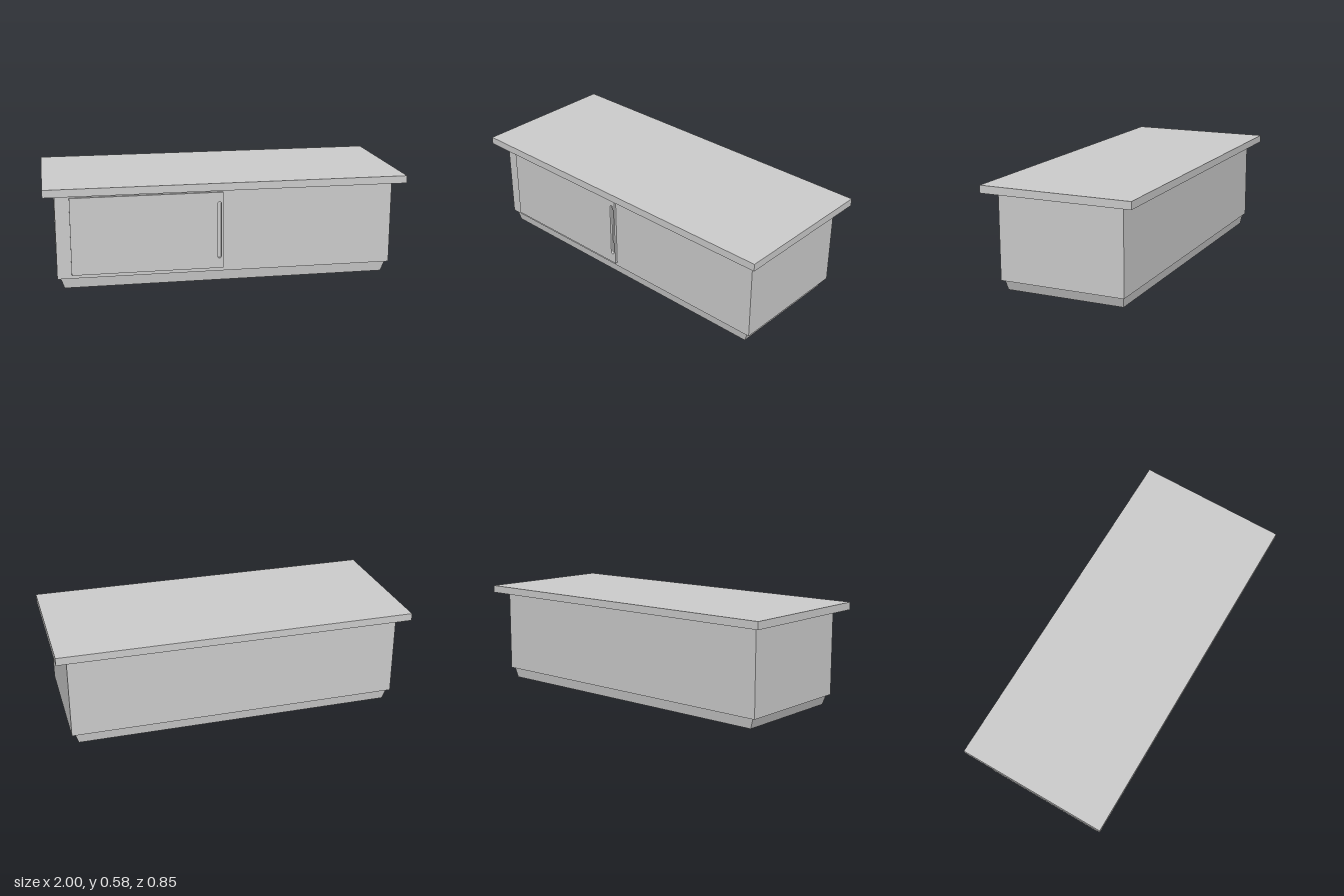
import * as THREE from 'three';

const material = new THREE.MeshStandardMaterial({ color: 0xcccccc, flatShading: true });

function addMesh(group, name, geometry) {
  const mesh = new THREE.Mesh(geometry, material);
  mesh.name = name;
  group.add(mesh);
  return mesh;
}

// Box centred on x and z, spanning y0 to y1
function slab(width, depth, y0, y1) {
  return new THREE.BoxGeometry(width, y1 - y0, depth).translate(0, (y0 + y1) / 2, 0);
}

// Upright slot with fully rounded ends
function slotPath(x0, x1, y0, y1) {
  const r = (x1 - x0) / 2;
  const cx = (x0 + x1) / 2;
  const path = new THREE.Path();
  path.absarc(cx, y1 - r, r, 0, Math.PI, false);
  path.absarc(cx, y0 + r, r, Math.PI, Math.PI * 2, false);
  path.closePath();
  return path;
}

export function createModel() {
  const group = new THREE.Group();
  group.name = 'cabinet';

  addMesh(group, 'top', slab(2, 0.85, 0.534, 0.576));
  addMesh(group, 'body', slab(1.876, 0.71, 0.059, 0.534));

  // Plinth narrows toward the floor
  const plinth = slab(1.84, 0.686, 0, 0.059);
  const pos = plinth.attributes.position;
  for (let i = 0; i < pos.count; i++) {
    if (pos.getY(i) < 0.03) {
      pos.setX(i, Math.sign(pos.getX(i)) * 0.9);
      pos.setZ(i, Math.sign(pos.getZ(i)) * 0.335);
    }
  }
  plinth.computeVertexNormals();
  addMesh(group, 'plinth', plinth);

  // Sliding door panel with a slot cut through as its finger pull
  const panel = new THREE.Shape();
  panel.moveTo(-0.86, 0.08);
  panel.lineTo(-0.025, 0.08);
  panel.lineTo(-0.025, 0.512);
  panel.lineTo(-0.86, 0.512);
  panel.closePath();
  panel.holes.push(slotPath(-0.057, -0.035, 0.137, 0.458));
  const door = new THREE.ExtrudeGeometry(panel, { depth: 0.014, bevelEnabled: false, curveSegments: 8 });
  addMesh(group, 'slidingDoor', door).position.z = 0.355;

  return group;
}
